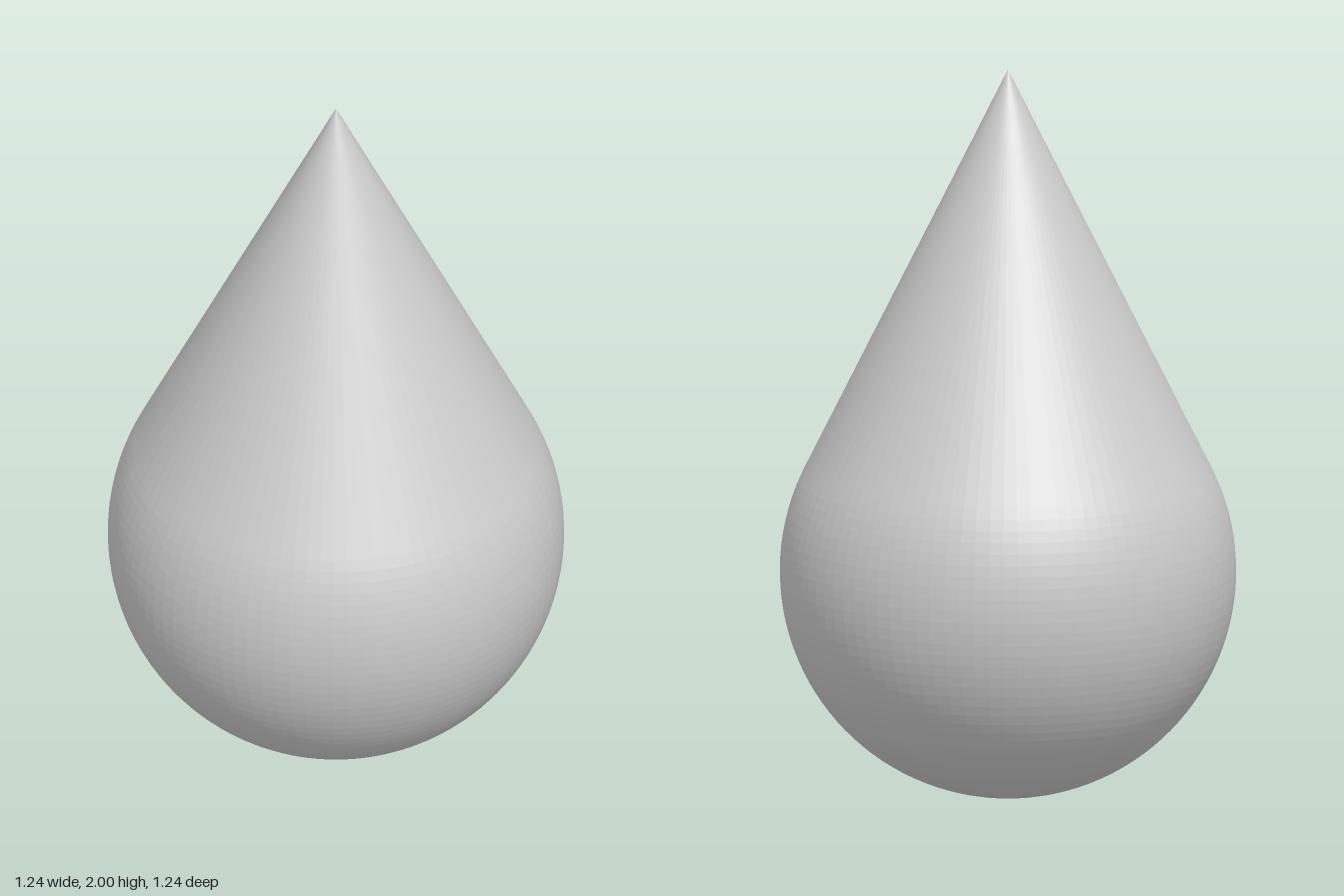
import * as THREE from 'three';

const RADIUS = 0.618; // ball radius, also the height of its centre
const HEIGHT = 2;
const SEGMENTS = 96;

export function createModel() {
  const group = new THREE.Group();
  group.name = 'teardrop';

  // Ball arc from the bottom up to where the cone touches it tangentially
  const tangent = Math.asin(RADIUS / (HEIGHT - RADIUS));
  const rings = 40;
  const profile = [];
  for (let i = 0; i <= rings; i++) {
    const a = -Math.PI / 2 + (tangent + Math.PI / 2) * (i / rings);
    const r = i === 0 ? 0 : RADIUS * Math.cos(a);
    profile.push(new THREE.Vector2(r, RADIUS + RADIUS * Math.sin(a)));
  }

  // Straight cone to the tip
  profile.push(new THREE.Vector2(0, HEIGHT));

  const material = new THREE.MeshStandardMaterial({ color: 0xcccccc, flatShading: true });
  const body = new THREE.Mesh(new THREE.LatheGeometry(profile, SEGMENTS), material);
  body.name = 'dropBody';
  group.add(body);
  return group;
}
